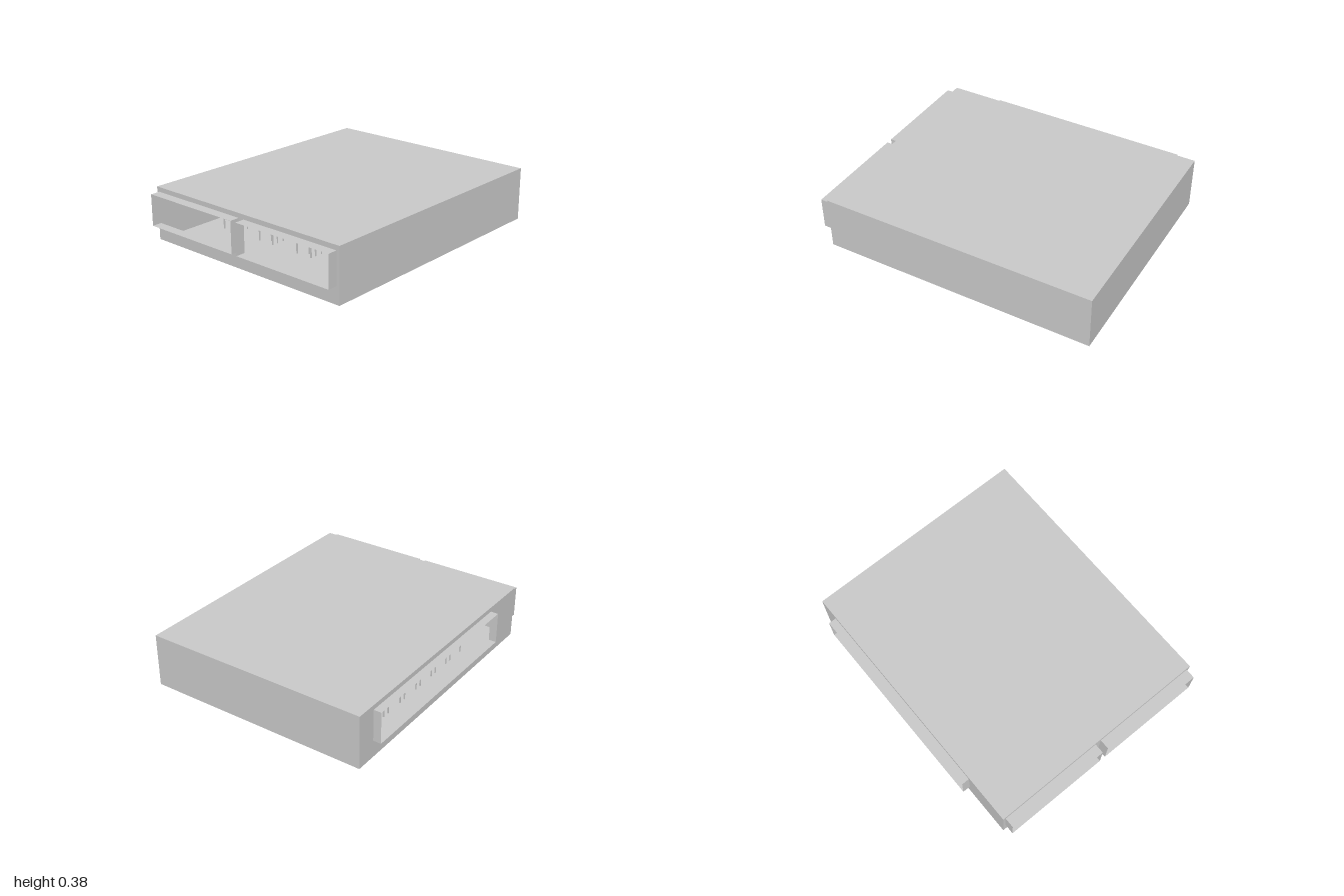
import * as THREE from 'three';

const mat = new THREE.MeshStandardMaterial({ color: 0xcccccc, side: THREE.DoubleSide, flatShading: true });

// Room limits and window heights
const X0 = -0.775, X1 = 0.83, Z0 = -1, Z1 = 0.93, H = 0.375;
const SILL = 0.12, HEAD = 0.342;

function add(parent, geometry, name, x = 0, y = 0, z = 0) {
  const mesh = new THREE.Mesh(geometry, mat);
  mesh.name = name;
  mesh.position.set(x, y, z);
  parent.add(mesh);
  return mesh;
}

function box(parent, name, w, h, d, x, y, z) {
  return add(parent, new THREE.BoxGeometry(w, h, d), name, x, y, z);
}

// Thin wall in its own XY plane, with window openings [from, to]
function wall(from, to, openings = []) {
  const shape = new THREE.Shape();
  shape.moveTo(from, 0).lineTo(to, 0).lineTo(to, H).lineTo(from, H).closePath();
  for (const [a, b] of openings) {
    const hole = new THREE.Path();
    hole.moveTo(a, SILL).lineTo(a, HEAD).lineTo(b, HEAD).lineTo(b, SILL).closePath();
    shape.holes.push(hole);
  }
  return new THREE.ShapeGeometry(shape);
}

// Open four-sided sleeve projecting from a wall, along local +z
function sleeve(a, b, depth) {
  const group = new THREE.Group();
  group.name = 'windowSurround';
  const mid = (a + b) / 2, midY = (SILL + HEAD) / 2;
  for (const y of [SILL, HEAD]) {
    const g = new THREE.PlaneGeometry(b - a, depth).rotateX(y === SILL ? Math.PI / 2 : -Math.PI / 2);
    add(group, g, 'windowLedge', mid, y, depth / 2);
  }
  for (const x of [a, b]) {
    const g = new THREE.PlaneGeometry(depth, HEAD - SILL).rotateY(x === a ? -Math.PI / 2 : Math.PI / 2);
    add(group, g, 'windowJamb', x, midY, depth / 2);
  }
  return group;
}

// Four thin legs under a rectangle
function legs(group, w, d, h, t) {
  for (const sx of [-1, 1]) for (const sz of [-1, 1])
    box(group, 'leg', t, h, t, sx * (w - t) / 2, h / 2, sz * (d - t) / 2);
}

function makeDesk(w, d) {
  const desk = new THREE.Group();
  desk.name = 'desk';
  box(desk, 'deskTop', w, 0.008, d, 0, 0.122, 0);
  for (const s of [-1, 1])
    box(desk, 'deskSidePanel', w - 0.01, 0.05, 0.004, 0, 0.093, s * (d / 2 - 0.008));
  legs(desk, w, d, 0.118, 0.008);
  return desk;
}

// Chair facing -x, its back at +x
function makeChair() {
  const chair = new THREE.Group();
  chair.name = 'chair';
  box(chair, 'seat', 0.065, 0.007, 0.065, 0, 0.078, 0);
  legs(chair, 0.062, 0.062, 0.076, 0.006);
  for (const s of [-1, 1]) box(chair, 'backPost', 0.006, 0.09, 0.006, 0.028, 0.125, s * 0.028);
  box(chair, 'backRest', 0.007, 0.035, 0.065, 0.03, 0.157, 0);
  return chair;
}

export function createModel() {
  const model = new THREE.Group();
  model.name = 'classroom';
  const cx = (X0 + X1) / 2, cz = (Z0 + Z1) / 2;

  // Floor and flat roof
  const slab = () => new THREE.PlaneGeometry(X1 - X0, Z1 - Z0);
  add(model, slab().rotateX(Math.PI / 2), 'floor', cx, 0, cz);
  add(model, slab().rotateX(-Math.PI / 2), 'roof', cx, H, cz);

  // Front wall with two projecting window surrounds
  const frontWindows = [[-0.755, 0.003], [0.047, 0.808]];
  add(model, wall(X0, X1, frontWindows), 'frontWall', 0, 0, Z1);
  for (const [a, b] of frontWindows) {
    const s = sleeve(a, b, 0.07);
    s.position.z = Z1;
    model.add(s);
  }

  // Solid back and left walls
  add(model, wall(-X1, -X0).rotateY(Math.PI), 'backWall', 0, 0, Z0);
  add(model, wall(-Z1, -Z0).rotateY(Math.PI / 2), 'leftWall', X1, 0, 0);

  // Right wall with one long window; local x runs along +z
  const long = [-0.855, 0.583];
  add(model, wall(Z0, Z1, [long]).rotateY(-Math.PI / 2), 'rightWall', X0, 0, 0);
  const side = sleeve(long[0], long[1], 0.055);
  side.rotation.y = -Math.PI / 2;
  side.position.x = X0;
  model.add(side);

  // Three columns of six desks with chairs
  for (let c = 0; c < 3; c++) for (let r = 0; r < 6; r++) {
    const x = -0.535 + c * 0.345, z = -0.54 + r * 0.195;
    const desk = makeDesk(0.13, 0.15);
    desk.position.set(x, 0, z);
    const chair = makeChair();
    chair.position.set(x + 0.035, 0, z);
    model.add(desk, chair);
  }

  // Teacher's desk and chair
  const desk = makeDesk(0.13, 0.24);
  desk.name = 'teacherDesk';
  desk.position.set(0.595, 0, 0);
  const chair = makeChair();
  chair.name = 'teacherChair';
  chair.rotation.y = Math.PI / 2;
  chair.position.set(0.54, 0, 0.2);
  model.add(desk, chair);

  return model;
}
